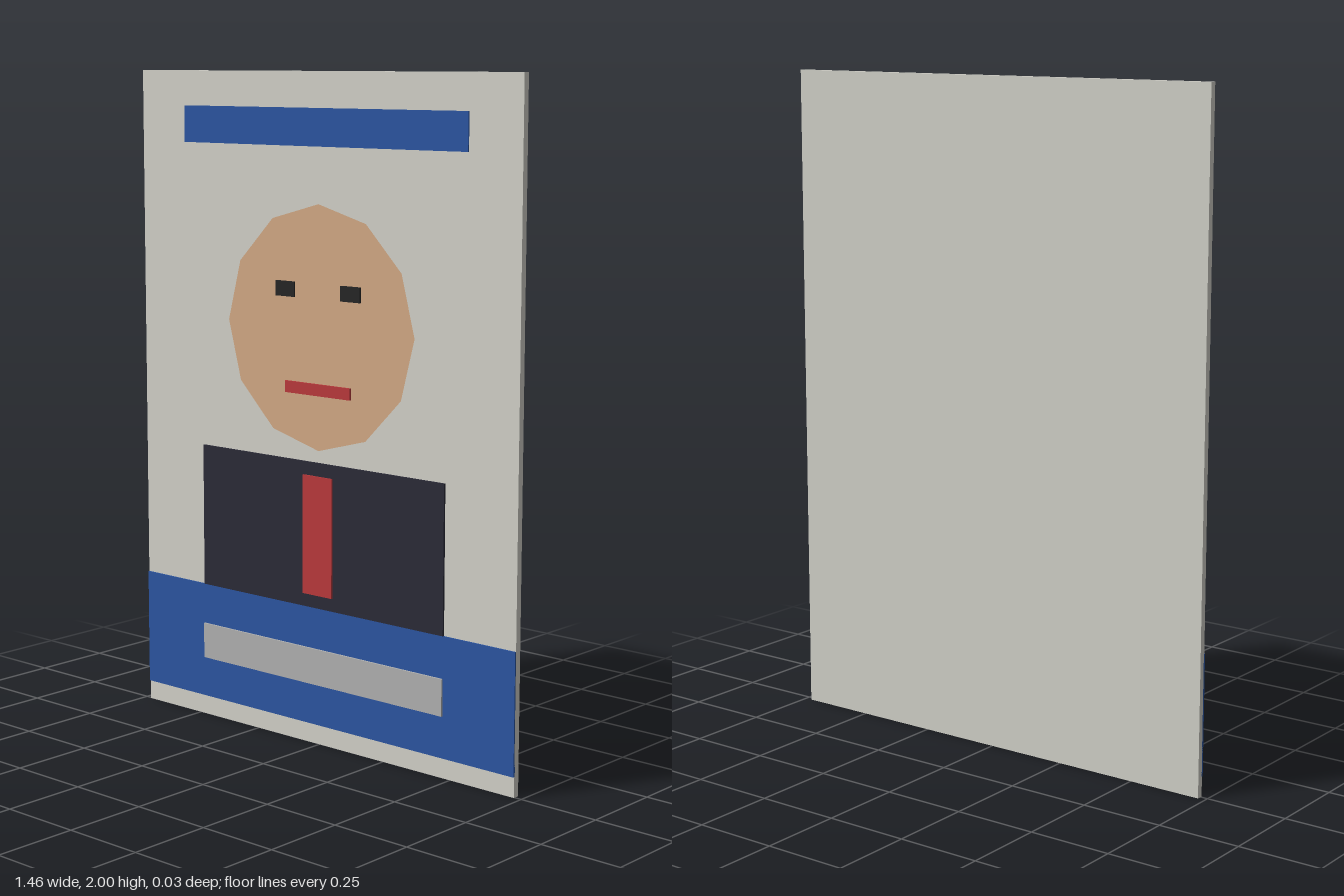
import * as THREE from 'three';

const paint = (color) => new THREE.MeshStandardMaterial({ color });

export function createModel() {
  const poster = new THREE.Group();
  poster.name = 'poster';
  const board = paint(0xd4d3cb), blue = paint(0x2c56a3), skin = paint(0xd4ab86);
  const dark = paint(0x2b2b38), black = paint(0x272727), red = paint(0xbc3a3c), grey = paint(0xb2b2b2);

  // Flat box given by its x centre, width, bottom, top, back and front
  function panel(name, material, x, width, y0, y1, z0, z1) {
    const mesh = new THREE.Mesh(new THREE.BoxGeometry(width, y1 - y0, z1 - z0), material);
    mesh.name = name;
    mesh.position.set(x, (y0 + y1) / 2, (z0 + z1) / 2);
    poster.add(mesh);
  }

  // Backing board and printed bands
  panel('board', board, 0, 1.456, 0, 2, -0.015, 0.004);
  panel('headerBand', blue, 0, 1.09, 1.785, 1.895, 0.002, 0.008);
  panel('lowerBand', blue, 0, 1.456, 0.06, 0.42, 0.002, 0.008);
  panel('namePlate', grey, 0, 0.948, 0.185, 0.295, 0.007, 0.014);

  // Portrait: jacket, tie and twelve-sided face
  panel('jacket', dark, 0, 0.948, 0.42, 0.86, 0.002, 0.01);
  panel('tie', red, 0, 0.114, 0.46, 0.82, 0.009, 0.015);

  const face = new THREE.Mesh(new THREE.CircleGeometry(0.362, 12), skin);
  face.name = 'face';
  face.position.set(0, 1.258, 0.008);
  poster.add(face);

  for (const side of [-1, 1]) {
    panel(side > 0 ? 'leftEye' : 'rightEye', black, side * 0.127, 0.073, 1.345, 1.39, 0.009, 0.015);
  }
  panel('mouth', red, 0, 0.254, 1.06, 1.095, 0.009, 0.015);

  return poster;
}
